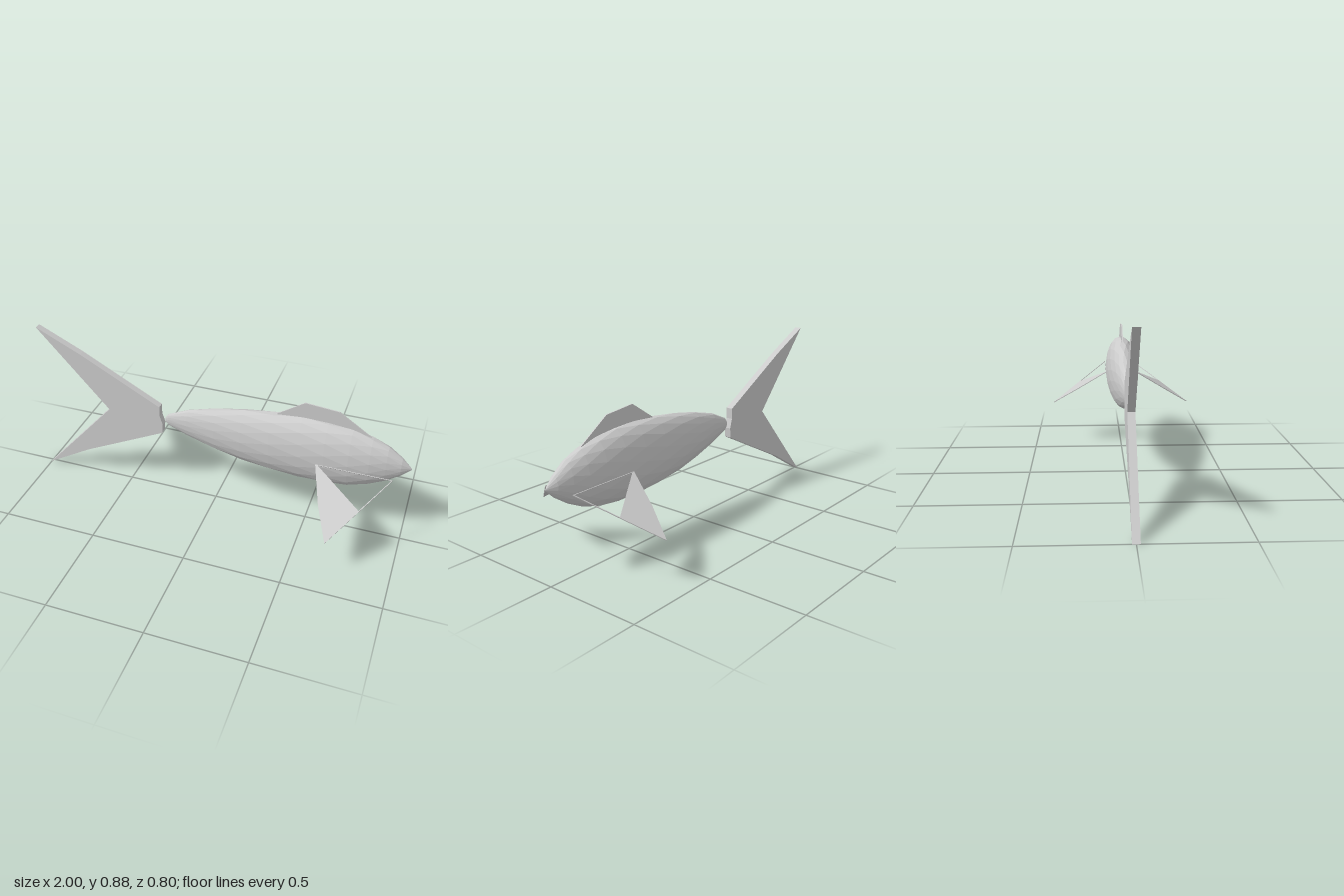
import * as THREE from 'three';

const material = new THREE.MeshStandardMaterial({
  color: 0xcccccc, flatShading: true, side: THREE.DoubleSide,
});

function addMesh(parent, name, geometry) {
  const mesh = new THREE.Mesh(geometry, material);
  mesh.name = name;
  parent.add(mesh);
  return mesh;
}

const toPoints = (list) => list.map(([x, y]) => new THREE.Vector2(x, y));

// Flat plate of a given thickness, centred on its own plane
function plate(outline, thickness, hole) {
  const shape = new THREE.Shape(toPoints(outline));
  if (hole) shape.holes.push(new THREE.Path(toPoints(hole)));
  return new THREE.ExtrudeGeometry(shape, { depth: thickness, bevelEnabled: false })
    .translate(0, 0, -thickness / 2);
}

// Faceted body lofted through elliptical sections: [x, bottom, top, half width]
function bodyGeometry() {
  const sections = [
    [-0.28, 0.44, 0.465, 0.004], [-0.26, 0.42, 0.49, 0.014], [-0.15, 0.38, 0.54, 0.034],
    [0, 0.335, 0.58, 0.056], [0.15, 0.304, 0.608, 0.073], [0.3, 0.285, 0.626, 0.084],
    [0.45, 0.276, 0.636, 0.089], [0.58, 0.276, 0.635, 0.089], [0.7, 0.288, 0.62, 0.083],
    [0.8, 0.318, 0.592, 0.07], [0.88, 0.358, 0.558, 0.051], [0.95, 0.405, 0.508, 0.029],
    [1, 0.452, 0.458, 0.001],
  ];
  const sides = 16;
  const positions = [];
  const index = [];
  sections.forEach(([x, low, high, halfWidth], i) => {
    for (let j = 0; j < sides; j++) {
      const a = ((j + (i % 2) / 2) / sides) * Math.PI * 2;
      positions.push(x, (low + high) / 2 + ((high - low) / 2) * Math.sin(a), halfWidth * Math.cos(a));
    }
  });
  // Alternate rings are turned half a step, giving staggered triangles
  for (let i = 0; i < sections.length - 1; i++) {
    for (let j = 0; j < sides; j++) {
      const k = (j + 1) % sides;
      const a = i * sides + j, b = i * sides + k;
      const c = a + sides, d = b + sides;
      if (i % 2) index.push(a, c, d, a, d, b);
      else index.push(a, c, b, b, c, d);
    }
  }
  // End caps
  const last = (sections.length - 1) * sides;
  for (let j = 1; j < sides - 1; j++) {
    index.push(0, j, j + 1, last, last + j + 1, last + j);
  }
  const geometry = new THREE.BufferGeometry();
  geometry.setAttribute('position', new THREE.Float32BufferAttribute(positions, 3));
  geometry.setIndex(index);
  geometry.computeVertexNormals();
  return geometry;
}

export function createModel() {
  const fish = new THREE.Group();
  fish.name = 'fish';

  addMesh(fish, 'body', bodyGeometry());

  // Forked tail, standing just clear of the body
  addMesh(fish, 'tailFin', plate([
    [-0.975, 0.88], [-0.595, 0.455], [-1, 0], [-0.75, 0.147], [-0.295, 0.372],
    [-0.29, 0.425], [-0.305, 0.476], [-0.305, 0.533], [-0.735, 0.765],
  ], 0.036));

  // Dorsal fin, its root sunk into the back
  addMesh(fish, 'dorsalFin', plate([
    [0.3, 0.615], [0.455, 0.72], [0.625, 0.705], [0.79, 0.595], [0.55, 0.58],
  ], 0.006));

  // Side fins: a blade with a thin open frame reaching forward
  const finOutline = [[0.545, 0], [0.607, 0.2], [0.68, 0.375], [0.8, 0.192], [0.925, 0]];
  const finOpening = [[0.557, 0.003], [0.8, 0.184], [0.919, 0.003]];
  for (const side of [1, -1]) {
    const fin = addMesh(fish, side > 0 ? 'frontSideFin' : 'backSideFin',
      plate(finOutline, 0.004, finOpening));
    fin.position.set(0, 0.432, side * 0.087);
    fin.rotation.x = side * THREE.MathUtils.degToRad(123.4);
  }

  return fish;
}
